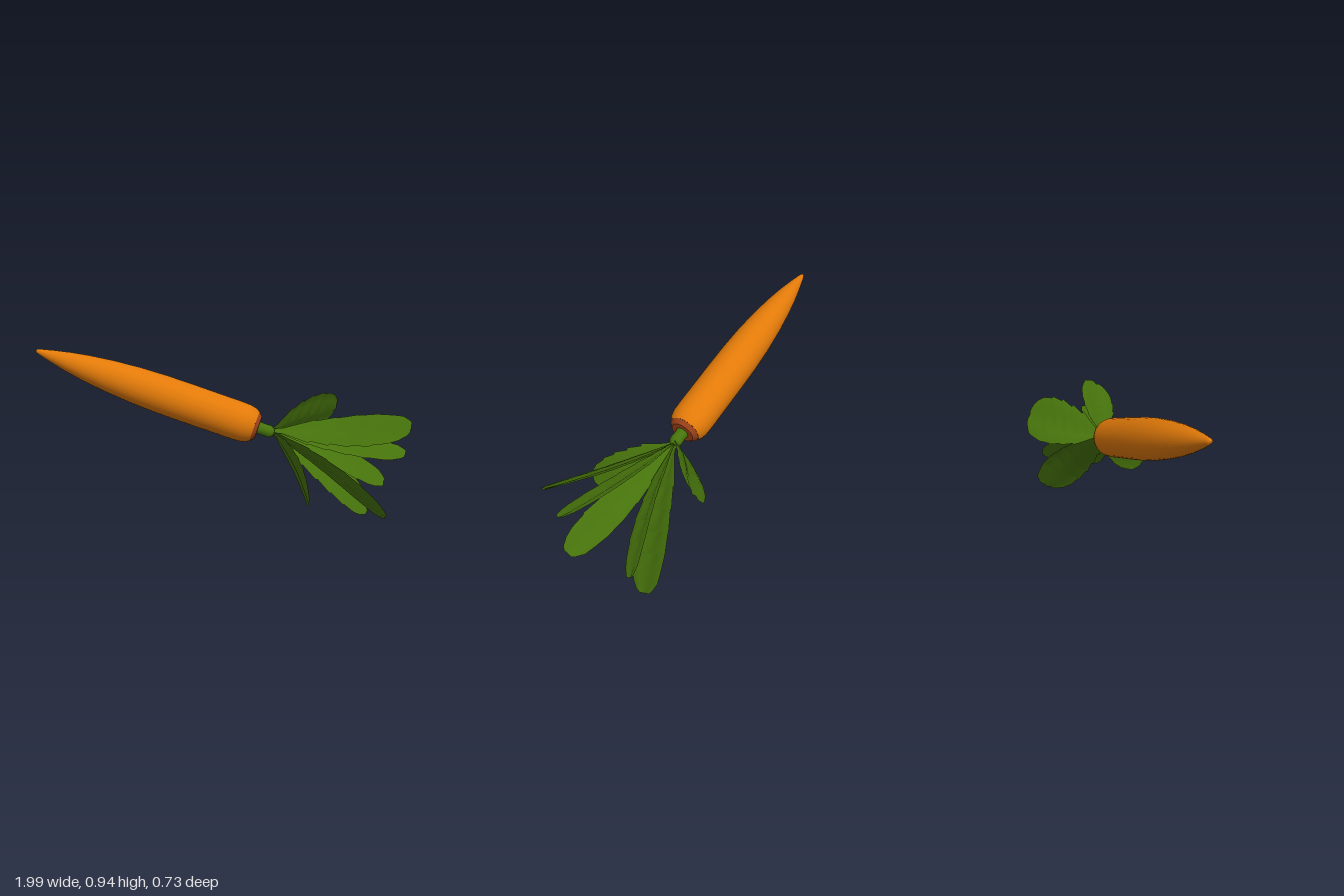
import * as THREE from 'three';

const mat = (name, color, side = THREE.FrontSide) => {
  const m = new THREE.MeshStandardMaterial({ color, side });
  m.name = name;
  return m;
};
const V = (a) => new THREE.Vector3(...a);

// Half-width of a leaf along its length: slim stalk, small teeth, blunt rounded end
const OUTLINE = [
  [0, 0.12], [0.08, 0.18], [0.18, 0.42], [0.3, 0.75], [0.315, 0.66], [0.45, 0.91], [0.465, 0.82],
  [0.6, 1.02], [0.615, 0.94], [0.74, 1.02], [0.755, 0.95], [0.86, 0.9], [0.93, 0.74], [0.98, 0.5], [1, 0.3],
];

// Creased leaf surface from cross-sections between base and tip
function leafGeometry(base, tip, half, bend) {
  const dir = tip.clone().sub(base);
  const w = half.clone().addScaledVector(dir, -half.dot(dir) / dir.lengthSq()).setLength(half.length());
  const n = dir.clone().cross(w).normalize();
  if (n.y < 0) { n.negate(); w.negate(); }
  const across = [-1, -0.5, 0, 0.5, 1];
  const lift = [0.1, 0.13, 0, 0.13, 0.1];
  const pos = [], idx = [];
  OUTLINE.forEach(([t, f], i) => {
    across.forEach((u, j) => {
      // teeth on the two edges differ slightly
      const s = f * (j > 2 && i % 2 ? 0.94 : 1);
      const p = base.clone().addScaledVector(dir, t)
        .addScaledVector(w, u * s)
        .addScaledVector(n, bend * Math.sin(Math.PI * t) + lift[j] * Math.sin(Math.PI * t * 0.8) * w.length());
      pos.push(p.x, p.y, p.z);
      if (i && j) {
        const d = i * 5 + j, c = d - 1, b = d - 5, a = b - 1;
        idx.push(a, c, b, b, c, d);
      }
    });
  });
  const g = new THREE.BufferGeometry();
  g.setAttribute('position', new THREE.Float32BufferAttribute(pos, 3));
  g.setIndex(idx);
  g.computeVertexNormals();
  return g;
}

export function createModel() {
  const group = new THREE.Group();
  const orange = mat('carrot orange', 0xe27a09);
  const rust = mat('crown rust', 0xa2441a);
  const green = mat('leaf green', 0x47740c, THREE.DoubleSide);

  // Root, crown and stem share one slanted axis from tip to crown
  const tip = V([-1, 0.934, -0.35]);
  const axis = V([1.25, -0.4, 0.29]).normalize();
  const body = new THREE.Group();
  body.name = 'carrotBody';
  body.position.copy(tip);
  body.quaternion.setFromUnitVectors(new THREE.Vector3(0, 1, 0), axis);
  group.add(body);

  const lathe = (name, pts, material, segments) => {
    const curve = pts.map(([r, y]) => new THREE.Vector2(r, y));
    const m = new THREE.Mesh(new THREE.LatheGeometry(curve, segments), material);
    m.name = name;
    body.add(m);
  };
  lathe('root', [
    [0, 0], [0.01, 0.004], [0.017, 0.025], [0.035, 0.1], [0.056, 0.2], [0.074, 0.31], [0.09, 0.44],
    [0.103, 0.6], [0.109, 0.76], [0.11, 0.92], [0.109, 1.08], [0.109, 1.2], [0.107, 1.255],
    [0.1, 1.288], [0.086, 1.315],
  ], orange, 32);
  lathe('crown', [[0.086, 1.315], [0.064, 1.336]], rust, 16);
  lathe('crownTop', [[0.064, 1.336], [0, 1.336]], rust, 16);
  lathe('stem', [[0.036, 1.33], [0.033, 1.36], [0.035, 1.4], [0.022, 1.425], [0, 1.43]], green, 12);

  // Leaves: tip, half-width vector, bend
  const leaves = new THREE.Group();
  leaves.name = 'leaves';
  group.add(leaves);
  const base = V([0.315, 0.522, -0.052]);
  [
    ['backLeaf', [0.73, 0.583, -0.3], [0.035, 0.122, 0.055], 0.02],
    ['upperFrontLeaf', [0.985, 0.62, 0.32], [0.052, 0.065, -0.085], -0.02],
    ['middleFrontLeaf', [0.98, 0.465, 0.265], [0.035, 0.035, -0.065], -0.01],
    ['sideLeaf', [0.46, 0.235, 0.34], [-0.015, 0.095, 0.062], 0.022],
    ['lowerFrontLeaf', [0.88, 0.128, 0.305], [0, 0.058, 0.065], 0.02],
    ['slimLeaf', [0.975, 0.195, -0.085], [0.024, 0.05, -0.055], 0.03],
    ['bottomLeaf', [0.895, 0.022, -0.122], [-0.047, -0.06, 0.108], 0.02],
  ].forEach(([name, end, half, bend]) => {
    const m = new THREE.Mesh(leafGeometry(base, V(end), V(half), bend), green);
    m.name = name;
    leaves.add(m);
  });
  return group;
}
